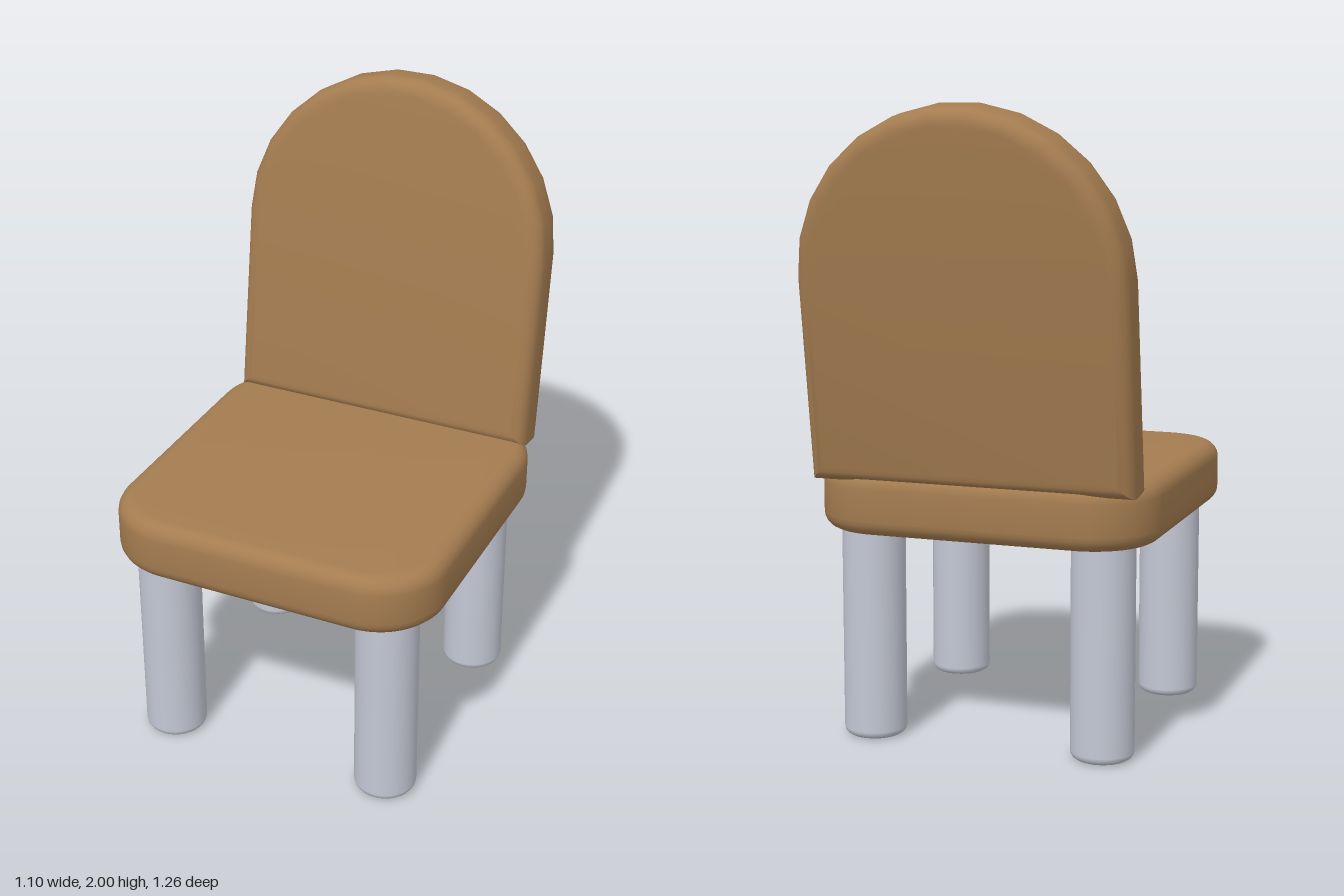
import * as THREE from 'three';
import { toCreasedNormals } from 'three/addons/utils/BufferGeometryUtils.js';

const BEVEL = 0.05;

// Slab with rounded edges, centred on its thickness (z); shape is drawn inset by BEVEL
function softSlab(shape, thickness, curveSegments) {
  const depth = thickness - 2 * BEVEL;
  const geo = new THREE.ExtrudeGeometry(shape, {
    depth, curveSegments, bevelEnabled: true,
    bevelSize: BEVEL, bevelThickness: BEVEL, bevelSegments: 5,
  });
  geo.translate(0, 0, -depth / 2);
  return toCreasedNormals(geo, 0.6);
}

function roundedRect(width, height, radius) {
  const x = width / 2 - BEVEL, y = height / 2 - BEVEL, r = radius - BEVEL;
  const s = new THREE.Shape();
  s.absarc(x - r, y - r, r, 0, Math.PI / 2);
  s.absarc(-x + r, y - r, r, Math.PI / 2, Math.PI);
  s.absarc(-x + r, -y + r, r, Math.PI, Math.PI * 1.5);
  s.absarc(x - r, -y + r, r, Math.PI * 1.5, Math.PI * 2);
  s.closePath();
  return s;
}

// Square foot with a half-round top in 13 facets
function archShape(radius, height) {
  const r = radius - BEVEL, spring = height - radius, steps = 13;
  const pts = [new THREE.Vector2(-r, BEVEL), new THREE.Vector2(r, BEVEL)];
  for (let i = 0; i <= steps; i++) {
    const a = (Math.PI * i) / steps;
    pts.push(new THREE.Vector2(r * Math.cos(a), spring + r * Math.sin(a)));
  }
  return new THREE.Shape(pts);
}

export function createModel() {
  const wood = new THREE.MeshStandardMaterial({ color: 0xa47c50 });
  wood.name = 'wood';
  const metal = new THREE.MeshStandardMaterial({ color: 0xc4c8d4 });
  metal.name = 'metal';

  const chair = new THREE.Group();
  chair.name = 'chair';
  const add = (name, geo, mat, x, y, z) => {
    const mesh = new THREE.Mesh(geo, mat);
    mesh.name = name;
    mesh.position.set(x, y, z);
    chair.add(mesh);
    return mesh;
  };

  // Seat cushion
  const seatGeo = softSlab(roundedRect(1.1, 1.1, 0.22), 0.2, 8);
  seatGeo.rotateX(-Math.PI / 2);
  add('seat', seatGeo, wood, 0, 0.775, 0.078);

  // Backrest, leaning backwards
  const back = add('backrest', softSlab(archShape(0.52, 1.156), 0.17, 1), wood, 0, 0.85, -0.39);
  back.rotation.x = THREE.MathUtils.degToRad(-8);

  // Round legs with softened feet
  const R = 0.1, foot = 0.025, top = 0.69;
  const profile = [new THREE.Vector2(0, 0)];
  for (let i = 0; i <= 4; i++) {
    const a = (Math.PI / 2) * (i / 4);
    profile.push(new THREE.Vector2(R - foot + foot * Math.sin(a), foot - foot * Math.cos(a)));
  }
  profile.push(new THREE.Vector2(R, top));
  const legGeo = new THREE.LatheGeometry(profile, 32);
  for (const [side, x] of [['Left', 0.38], ['Right', -0.38]]) {
    add(`front${side}Leg`, legGeo, metal, x, 0, 0.457);
    add(`back${side}Leg`, legGeo, metal, x, 0, -0.3);
  }
  return chair;
}
